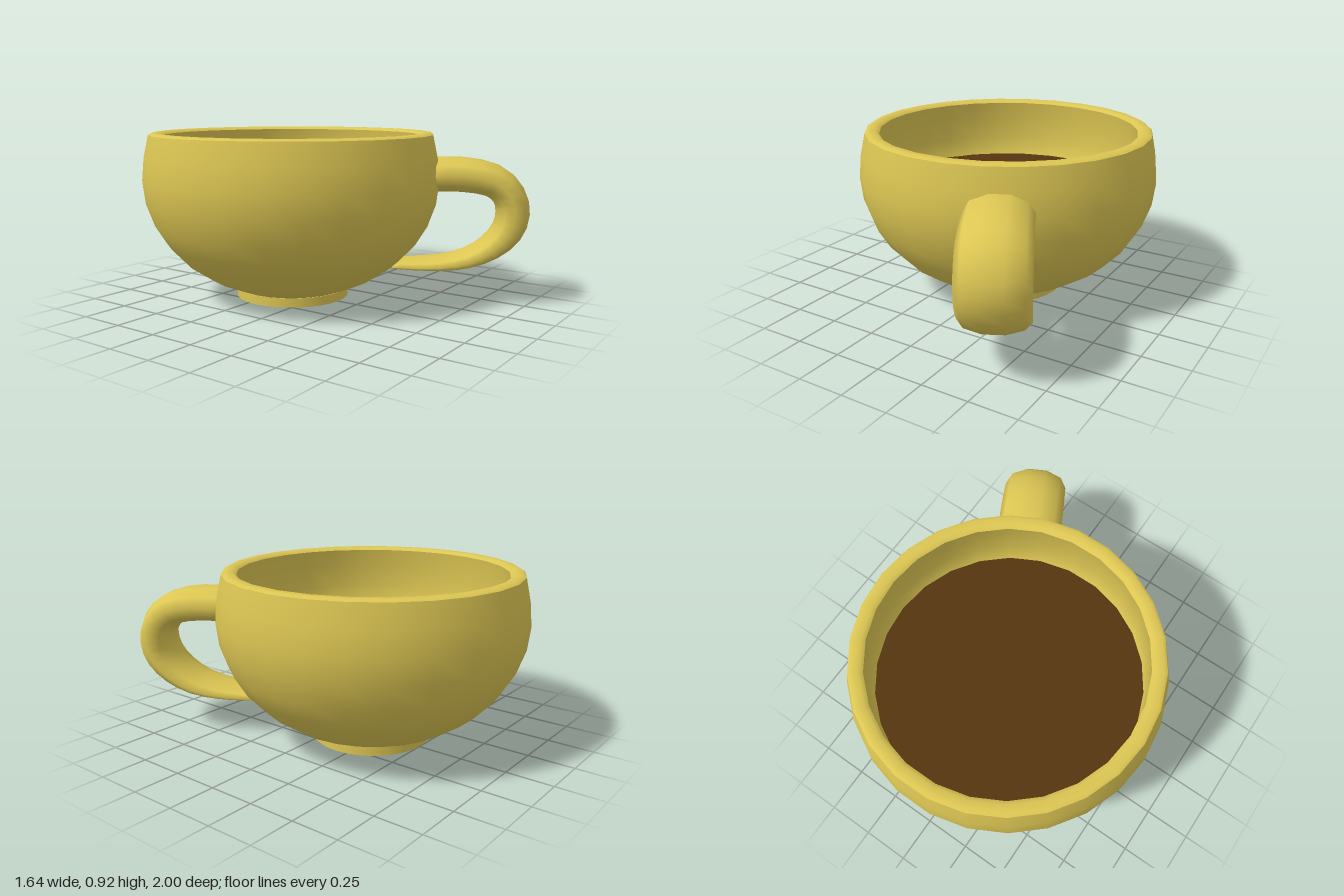
import * as THREE from 'three';

const SIDES = 26;
const glaze = new THREE.MeshStandardMaterial({ color: 0xdcc653 });
glaze.name = 'mustard glaze';
const coffee = new THREE.MeshStandardMaterial({ color: 0x553510 });
coffee.name = 'dark coffee';

// Turned surface; the profile is given as [radius, height] pairs
function turned(name, profile, material = glaze, sides = SIDES) {
  const points = profile.map(([r, y]) => new THREE.Vector2(r, y));
  const mesh = new THREE.Mesh(new THREE.LatheGeometry(points, sides, Math.PI / 2), material);
  mesh.name = name;
  return mesh;
}

// Tube with an elliptical section that changes along a path in the local yz plane
function handleGeometry() {
  // [distance out, height, half thickness, half width]
  const stations = [
    [0.75, 0.695, 0.095, 0.17], [0.94, 0.697, 0.095, 0.17], [1.10, 0.667, 0.092, 0.17],
    [1.185, 0.59, 0.09, 0.17], [1.21, 0.49, 0.09, 0.17], [1.182, 0.39, 0.083, 0.17],
    [1.10, 0.302, 0.068, 0.17], [0.98, 0.238, 0.052, 0.168], [0.83, 0.207, 0.037, 0.16],
    [0.68, 0.198, 0.028, 0.145], [0.56, 0.198, 0.022, 0.13],
  ];
  const path = new THREE.CatmullRomCurve3(stations.map(([u, y]) => new THREE.Vector3(0, y, u)), false, 'catmullrom');
  const size = new THREE.CatmullRomCurve3(stations.map(([, , a, b]) => new THREE.Vector3(b, a, 0)), false, 'catmullrom');
  const rings = 20, around = 10;
  const across = new THREE.Vector3(1, 0, 0);
  const positions = [], index = [];
  for (let i = 0; i <= rings; i++) {
    const t = i / rings;
    const center = path.getPoint(t), s = size.getPoint(t);
    const normal = path.getTangent(t).cross(across).normalize();
    for (let j = 0; j < around; j++) {
      const angle = (j / around) * Math.PI * 2;
      const p = center.clone()
        .addScaledVector(across, s.x * Math.cos(angle))
        .addScaledVector(normal, s.y * Math.sin(angle));
      positions.push(p.x, p.y, p.z);
      if (i < rings) {
        const a = i * around + j, b = i * around + (j + 1) % around;
        index.push(a, b, a + around, b, b + around, a + around);
      }
    }
  }
  const geometry = new THREE.BufferGeometry();
  geometry.setAttribute('position', new THREE.Float32BufferAttribute(positions, 3));
  geometry.setIndex(index);
  geometry.computeVertexNormals();
  return geometry;
}

export function createModel() {
  const cup = new THREE.Group();
  cup.name = 'cup';
  cup.position.z = -0.185;

  // Bowl: outer wall, lip and inner wall, kept apart for crisp edges
  cup.add(turned('bowlOutside', [
    [0.31, 0.05], [0.455, 0.11], [0.59, 0.2], [0.695, 0.31], [0.76, 0.415],
    [0.805, 0.54], [0.82, 0.665], [0.808, 0.79], [0.782, 0.91],
  ]));
  cup.add(turned('lip', [[0.782, 0.91], [0.765, 0.92], [0.725, 0.92], [0.705, 0.905]]));
  cup.add(turned('bowlInside', [
    [0.705, 0.905], [0.722, 0.8], [0.725, 0.68], [0.71, 0.56], [0.6, 0.38], [0, 0.3],
  ]));
  cup.add(turned('coffeeSurface', [[0.715, 0.57], [0, 0.57]], coffee, 52));

  // Foot ring with a shallow recess underneath
  const foot = new THREE.Group();
  foot.name = 'foot';
  foot.add(
    turned('footRecess', [[0, 0.04], [0.208, 0.04]]),
    turned('footInnerWall', [[0.208, 0.04], [0.208, 0]]),
    turned('footBase', [[0.208, 0], [0.315, 0]]),
    turned('footOuterWall', [[0.315, 0], [0.315, 0.05]]),
    turned('footTop', [[0.315, 0.05], [0.3, 0.05]]),
  );
  cup.add(foot);

  // Handle, swung towards the front left
  const handle = new THREE.Mesh(handleGeometry(), glaze);
  handle.name = 'handle';
  handle.rotation.y = THREE.MathUtils.degToRad(27.4);
  cup.add(handle);

  const model = new THREE.Group();
  model.name = 'coffeeCup';
  model.add(cup);
  return model;
}
